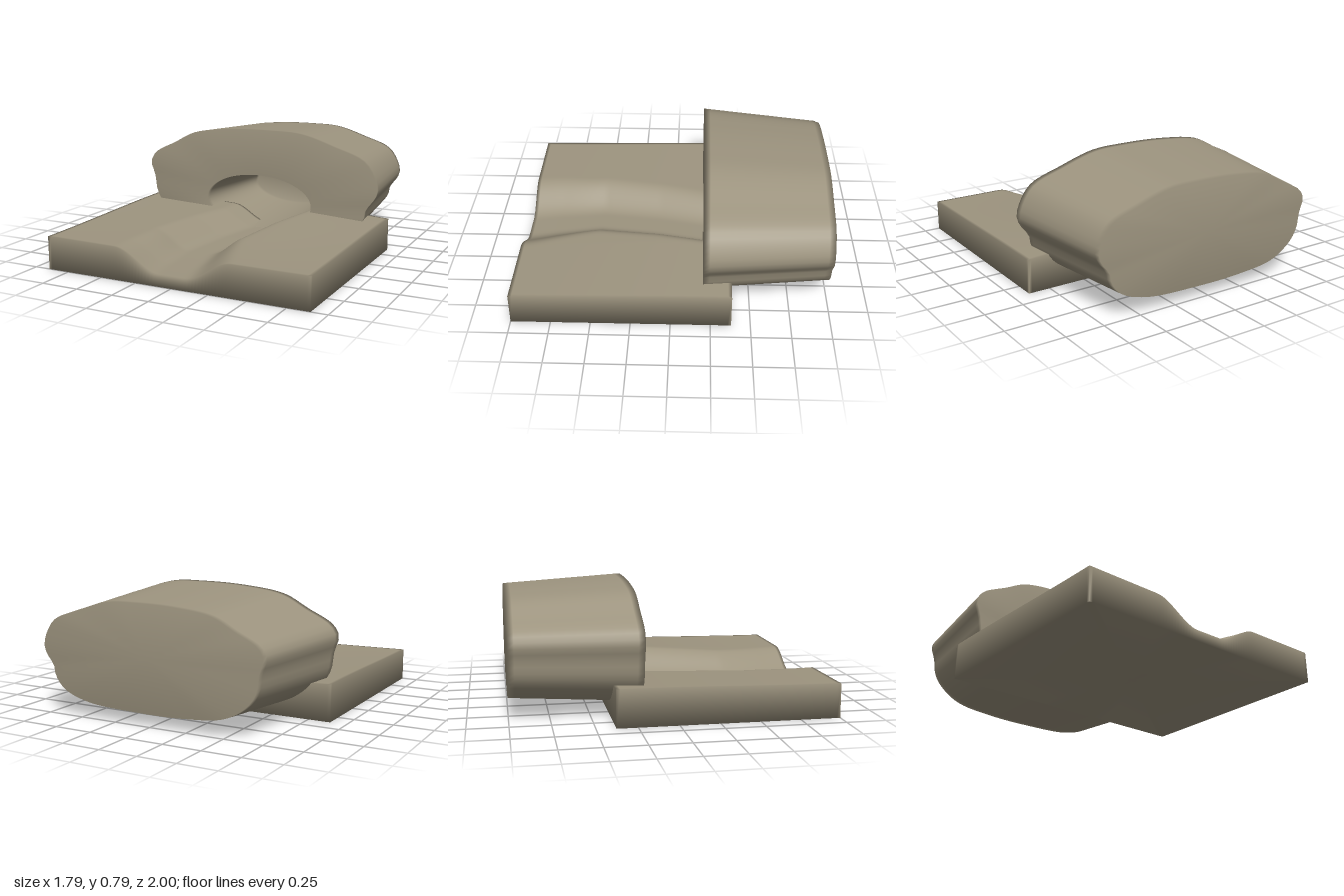
import * as THREE from 'three';
import { mergeVertices } from 'three/addons/utils/BufferGeometryUtils.js';

const stone = new THREE.MeshStandardMaterial({ color: 0x9d947f, side: THREE.DoubleSide });
const smooth = THREE.MathUtils.smoothstep;
const lerp = THREE.MathUtils.lerp;

// Weld equal corners so that the shading runs smoothly over every edge
function weld(geometry) {
  geometry.deleteAttribute('normal');
  geometry.deleteAttribute('uv');
  const welded = mergeVertices(geometry, 1e-4);
  welded.computeVertexNormals();
  return welded;
}

// Height of the ground, with a shallow channel that winds towards the cave
function groundHeight(x, z) {
  const back = smooth(-z, -1, 0.3);
  const bed = [[-0.38, 0.07], [-0.2, 0.05], [0.1, -0.02], [0.5, -0.08], [0.8, -0.04], [1, 0]];
  let k = 0;
  while (k < bed.length - 2 && z > bed[k + 1][0]) k++;
  const centre = lerp(bed[k][1], bed[k + 1][1], (z - bed[k][0]) / (bed[k + 1][0] - bed[k][0]));
  const plain = x > 0
    ? lerp(0.205, 0.25 - 0.06 * Math.max(0, x - 0.36), back)
    : lerp(0.205 + 0.012 * -x, 0.195 + 0.045 * -x, back);
  const spread = lerp(1, 0.84, smooth(-z, -1, -0.5));
  const bank = smooth(Math.abs(x - centre) / spread, 0.09, 0.4);
  return lerp(lerp(0.072, 0.092, back), plain, bank);
}

function createGround() {
  const g = new THREE.BoxGeometry(1.79, 0.2, 1.38, 80, 1, 60);
  g.translate(0, 0.1, 0.31);
  const p = g.attributes.position;
  for (let i = 0; i < p.count; i++) {
    const x = p.getX(i), z = p.getZ(i);
    if (p.getY(i) > 0.1) p.setY(i, groundHeight(x, z));
    else {
      p.setY(i, 0);
      // The underside is a plain fan around its middle
      const inside = Math.abs(x) < 0.894 && Math.abs(z - 0.31) < 0.689;
      if (inside) p.setXYZ(i, 0, 0, 0.31);
    }
  }
  const mesh = new THREE.Mesh(weld(g), stone);
  mesh.name = 'ground';
  return mesh;
}

function createCave() {
  // Uneven outline of the rock, counterclockwise from the right
  const outline = [
    [0.87, 0.44], [0.845, 0.53], [0.77, 0.63], [0.56, 0.71], [0.32, 0.78], [0.1, 0.79],
    [-0.22, 0.78], [-0.5, 0.74], [-0.66, 0.66], [-0.83, 0.57], [-0.87, 0.5], [-0.84, 0.4],
    [-0.82, 0.28], [-0.76, 0.19], [-0.6, 0.09], [-0.3, 0.05], [0.1, 0.045], [0.5, 0.07],
    [0.7, 0.14], [0.775, 0.23], [0.79, 0.3], [0.85, 0.38],
  ];
  const curve = new THREE.CatmullRomCurve3(
    outline.map(([x, y]) => new THREE.Vector3(x, y, 0)), true, 'centripetal');
  const sides = 96;
  const outer = curve.getSpacedPoints(sides).slice(0, sides);

  // A ring of the rock's skin, shrunk towards the back
  const skin = (t, z, shrink = 1) => outer.map((q) => [
    0.015 * t + q.x * lerp(1, 0.88, t) * shrink,
    0.42 + (q.y - 0.42) * lerp(1, 0.885, t) * shrink - 0.008 * t, z]);
  // An oval ring of the hollow
  const oval = (rx, ry, z) => outer.map((q) => {
    const a = Math.atan2((q.y - 0.28) / 0.42, q.x / 0.87);
    return [rx * Math.cos(a), 0.28 + ry * Math.sin(a), z];
  });

  // Back wall, skin, mouth face, tunnel and inner wall in one run of rings
  const rings = [skin(1, -1, 0)];
  const steps = 20;
  for (let i = 0; i <= steps; i++) {
    const t = 1 - i / steps;
    rings.push(skin(t, -0.2 - 0.8 * t));
  }
  for (let i = 0; i <= steps; i++) {
    const t = i / steps;
    rings.push(oval(lerp(0.4, 0.33, t), lerp(0.19, 0.14, t), -0.2 - 0.7 * t));
  }
  rings.push(oval(0, 0, -0.9));

  const index = [];
  for (let i = 0; i < rings.length - 1; i++) {
    for (let j = 0; j < sides; j++) {
      const a = i * sides + j, b = i * sides + (j + 1) % sides;
      index.push(a, b, a + sides, b, b + sides, a + sides);
    }
  }
  const g = new THREE.BufferGeometry();
  g.setAttribute('position', new THREE.Float32BufferAttribute(rings.flat(2), 3));
  g.setIndex(index);
  const mesh = new THREE.Mesh(weld(g), stone);
  mesh.name = 'caveRock';
  return mesh;
}

export function createModel() {
  const group = new THREE.Group();
  group.name = 'caveWithChannel';
  group.add(createGround(), createCave());
  return group;
}
